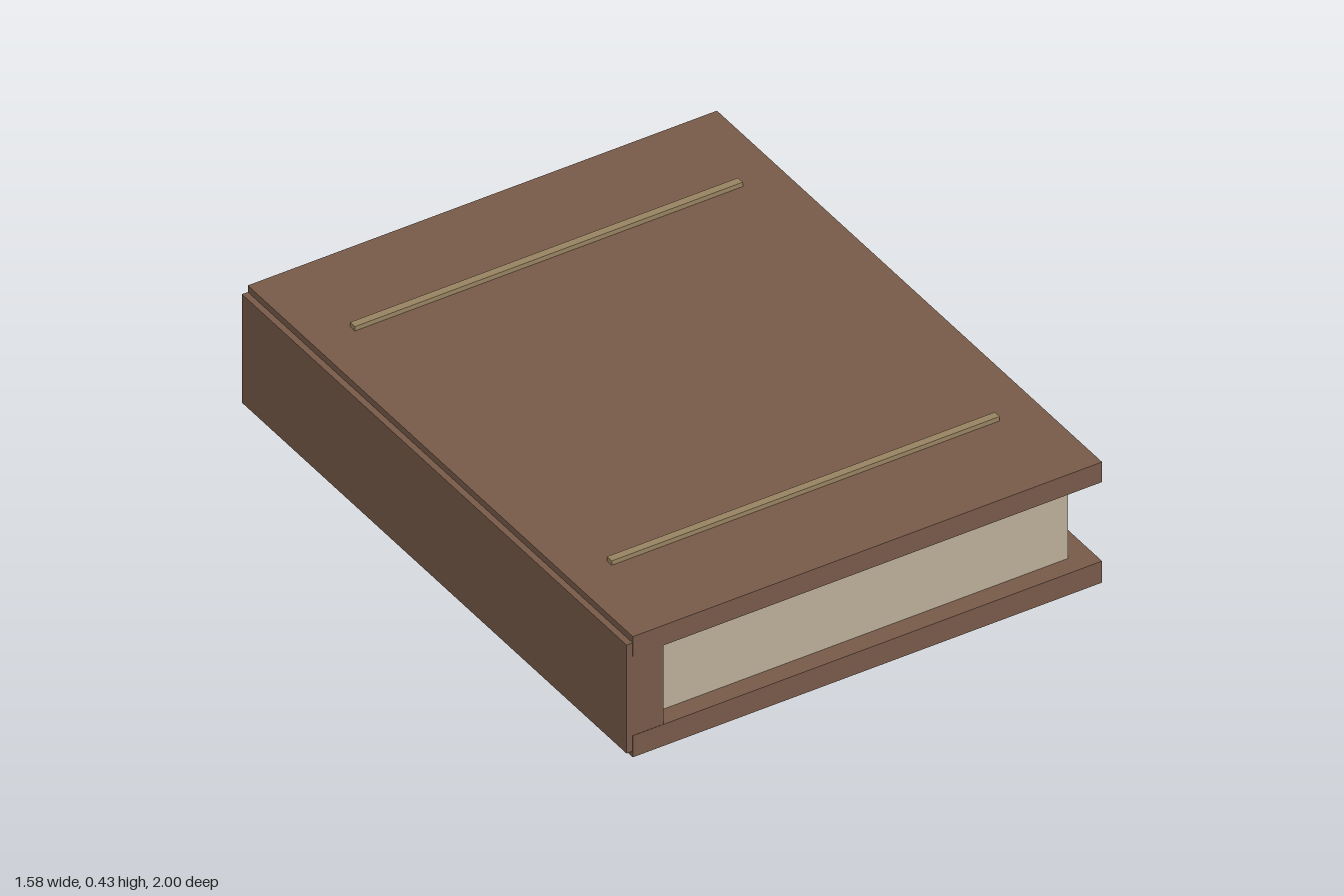
import * as THREE from 'three';

const COVER = 0x795b4a, PAPER = 0xbdb19b, TRIM = 0x9a8562;

// Box given by its extents along x and y, its depth and its centre in z
function slab(name, color, [x0, x1], [y0, y1], depth, z = 0) {
  const mesh = new THREE.Mesh(
    new THREE.BoxGeometry(x1 - x0, y1 - y0, depth),
    new THREE.MeshStandardMaterial({ color })
  );
  mesh.position.set((x0 + x1) / 2, (y0 + y1) / 2, z);
  mesh.name = name;
  return mesh;
}

export function createModel() {
  const book = new THREE.Group();
  book.name = 'book';

  // Two boards overhanging the page block
  book.add(slab('backCover', COVER, [-0.77, 0.787], [0, 0.074], 2));
  book.add(slab('frontCover', COVER, [-0.77, 0.787], [0.346, 0.415], 2));

  // Spine, proud of the boards and slightly lower than them
  book.add(slab('spine', COVER, [-0.79, -0.668], [0.02, 0.393], 1.998));

  // Page block
  book.add(slab('pages', PAPER, [-0.668, 0.714], [0.074, 0.346], 1.876));

  // Raised bands across the front cover
  for (const side of [-1, 1]) {
    book.add(slab('coverBand', TRIM, [-0.635, 0.652], [0.41, 0.43], 0.025, side * 0.667));
  }
  return book;
}
